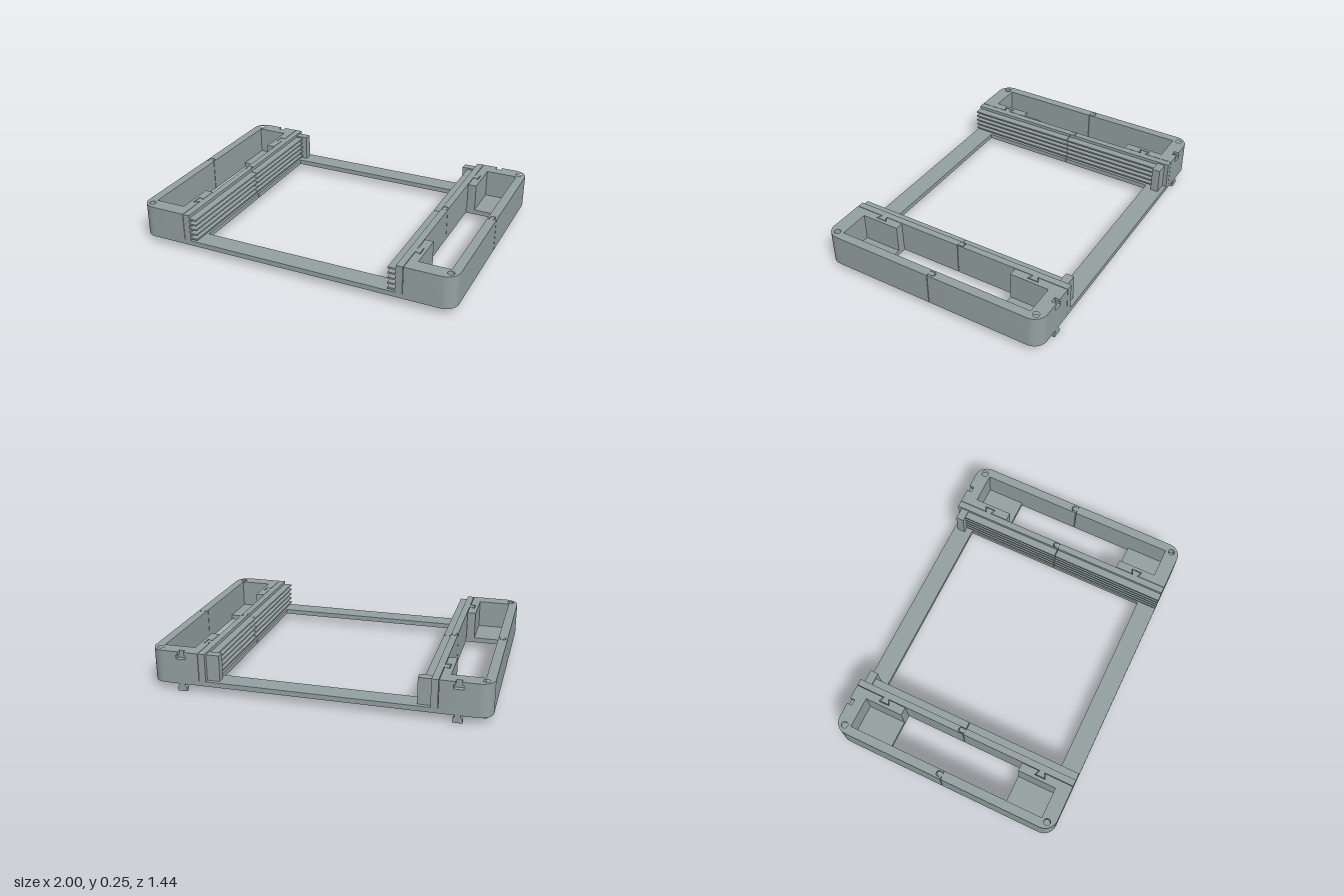
import * as THREE from 'three';
import { toCreasedNormals } from 'three/addons/utils/BufferGeometryUtils.js';

const grey = new THREE.MeshStandardMaterial({ color: 0x94a1a1 });
grey.name = 'grey plastic';

const BOTTOM = 0.045, FLOOR = 0.075, TOP = 0.245;

// Shape from [x, z] plan points; holes are [x, z, radius]
function planPrism(points, y0, y1, holes = []) {
  const shape = new THREE.Shape(points.map(([x, z]) => new THREE.Vector2(x, -z)));
  for (const [x, z, r] of holes) {
    shape.holes.push(new THREE.Path().absarc(x, -z, r, 0, Math.PI * 2, true));
  }
  const geo = new THREE.ExtrudeGeometry(shape, { depth: y1 - y0, bevelEnabled: false, curveSegments: 10 });
  geo.rotateX(-Math.PI / 2).translate(0, y0, 0);
  return toCreasedNormals(geo, 0.5);
}

function box(x0, x1, y0, y1, z0, z1) {
  return new THREE.BoxGeometry(x1 - x0, y1 - y0, z1 - z0)
    .translate((x0 + x1) / 2, (y0 + y1) / 2, (z0 + z1) / 2);
}

// Mirror a geometry across x = 0, keeping faces outward
function mirrorX(source) {
  const geo = source.index ? source.toNonIndexed() : source.clone();
  for (const [name, attr] of Object.entries(geo.attributes)) {
    const n = attr.itemSize, a = attr.array;
    for (let i = 0; i < attr.count; i += 3) {
      for (let k = 0; k < n; k++) {
        const p = (i + 1) * n + k, q = (i + 2) * n + k;
        [a[p], a[q]] = [a[q], a[p]];
      }
    }
    if (name !== 'uv') for (let i = 0; i < a.length; i += n) a[i] = -a[i];
  }
  return geo;
}

// Rounded outer corner of a casing, running from the end face to the side
function corner(s, r = 0.08) {
  const pts = [];
  for (let i = 0; i <= 10; i++) {
    const t = (1 - i / 10) * Math.PI / 2;
    pts.push([1 - r + r * Math.cos(t), s * (0.72 - r + r * Math.sin(t))]);
  }
  return pts;
}

// Knob (front half) or matching socket (back half) at the middle joint, from high x to low x
const jointZ = (s) => (s > 0 ? 0 : -0.004);
function joint(c, s) {
  const h = s > 0 ? 0.014 : 0.017, z = jointZ(s), end = s > 0 ? -0.035 : -0.039;
  return [[c + h * 0.6, z], [c + h, z - 0.01], [c + h, end + 0.008], [c + h * 0.5, end],
    [c - h * 0.5, end], [c - h, end + 0.008], [c - h, z - 0.01], [c - h * 0.6, z]];
}

// Plan outline of one casing half; notch is the half width of the end slot
function casingOutline(s, notch) {
  const z = jointZ(s);
  const slot = notch
    ? [[0.81 - notch, -0.72], [0.81 - notch, -0.69], [0.81 + notch, -0.69], [0.81 + notch, -0.72]]
    : [];
  return [
    [0.945, z], [0.945, s * 0.63], [0.755, s * 0.63], [0.755, s * 0.39], [0.703, s * 0.39],
    [0.703, s * 0.5], [0.735, s * 0.485], [0.735, s * 0.555], [0.703, s * 0.54],
    [0.703, s * 0.72], ...slot, ...corner(s), [1, z], ...joint(0.972, s),
  ];
}

export function createModel() {
  const model = new THREE.Group();
  model.name = 'frame';

  // Adds a part on the left side and its mirror on the right
  function pair(name, geo) {
    for (const [side, g] of [['left', geo], ['right', mirrorX(geo)]]) {
      const mesh = new THREE.Mesh(g, grey);
      mesh.name = side + name;
      model.add(mesh);
    }
  }

  for (const s of [1, -1]) {
    const end = s > 0 ? 'Front' : 'Back', z = jointZ(s);

    // Floor under casing and rail, open in the middle
    pair(end + 'Floor', planPrism([
      [0.61, z], [0.7, z], [0.7, s * 0.39], [0.945, s * 0.39], [0.945, z], [1, z],
      ...corner(s).reverse(), [0.61, s * 0.72],
    ], BOTTOM, FLOOR));

    // Casing walls, with peg sockets and dovetail slots in the upper layers
    const peg = [[0.953, s * 0.668, 0.02]];
    const back = s < 0;
    pair(end + 'CasingBody', planPrism(casingOutline(s, 0), FLOOR, 0.2));
    pair(end + 'CasingUpper', planPrism(casingOutline(s, back ? 0.029 : 0), 0.2, 0.225, peg));
    pair(end + 'CasingTop', planPrism(casingOutline(s, back ? 0.018 : 0), 0.225, TOP, peg));

    // Rail wall with its dovetail key
    pair(end + 'RailWall', planPrism([
      [0.66, z], [0.66, s * 0.72], [0.7, s * 0.72], [0.7, s * 0.535], [0.73, s * 0.549],
      [0.73, s * 0.491], [0.7, s * 0.505], [0.7, z], ...joint(0.679, s),
    ], FLOOR, TOP));

    // Thin guide fins along the rail
    for (let i = 0; i < 5; i++) {
      const y = 0.087 + i * 0.032;
      const [z0, z1] = s > 0 ? [0, 0.72] : [-0.66, -0.004];
      pair(end + 'Fin' + (i + 1), box(0.613, 0.661, y, y + 0.01, z0, z1));
    }

    // Locating peg below the corner
    pair(end + 'Peg', new THREE.CylinderGeometry(0.016, 0.014, 0.022, 20)
      .translate(0.953, 0.038, s * 0.668));

    // Cross bar between the two sides
    const bar = new THREE.Mesh(box(-0.61, 0.61, BOTTOM, FLOOR,
      Math.min(s * 0.6, s * 0.72), Math.max(s * 0.6, s * 0.72)), grey);
    bar.name = end.toLowerCase() + 'CrossBar';
    model.add(bar);
  }

  // Stop plate closing the back end of the fins
  pair('BackStop', box(0.582, 0.662, FLOOR, 0.235, -0.695, -0.645));

  // Dovetail foot below the back edge
  const half = [[0.016, 0.05], [0.016, 0.038], [0.028, 0.022], [0.028, 0]];
  const outline = [...half, ...half.map(([x, y]) => [-x, y]).reverse()];
  const foot = new THREE.ExtrudeGeometry(
    new THREE.Shape(outline.map(([x, y]) => new THREE.Vector2(x, y))),
    { depth: 0.028, bevelEnabled: false });
  pair('DovetailFoot', foot.translate(0.81, 0, -0.72));

  return model;
}
